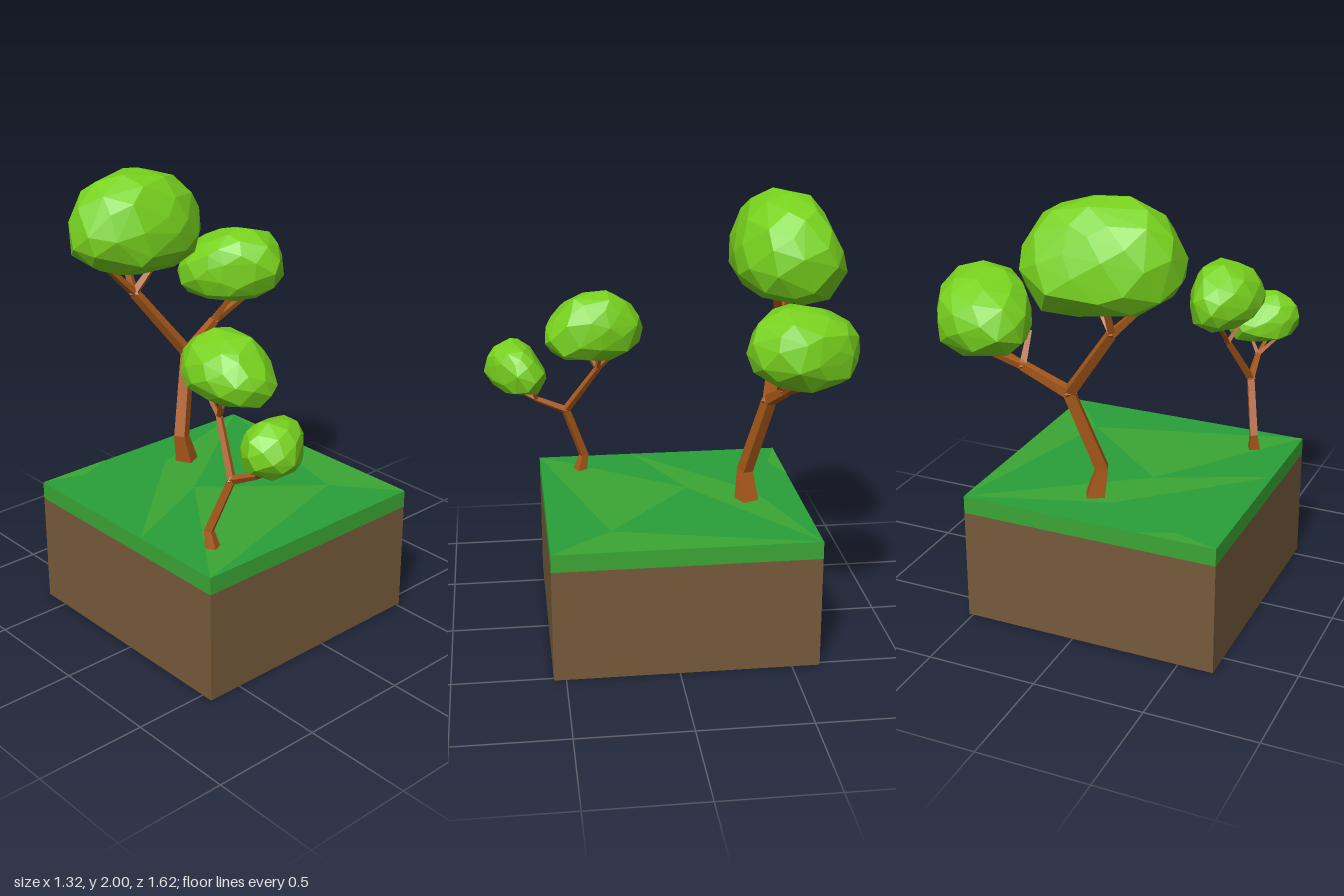
import * as THREE from 'three';
import { ConvexGeometry } from 'three/addons/geometries/ConvexGeometry.js';

const V = (p) => new THREE.Vector3(...p);
const mat = (color) => new THREE.MeshStandardMaterial({ color, flatShading: true });
const soilMat = mat(0x775a3b), lightGrass = mat(0x3ba635), darkGrass = mat(0x299f39);
const barkMat = mat(0xa8591b), leafMat = mat(0x78d21e);

function add(group, name, geometry, material) {
  const mesh = new THREE.Mesh(geometry, material);
  mesh.name = name;
  group.add(mesh);
  return mesh;
}

// Four-sided tapering limb through points [x, y, z, radius]
function limb(points) {
  const n = points.length, sides = 4, pos = [], idx = [];
  const at = points.map((p) => V(p.slice(0, 3)));
  const ref = new THREE.Vector3(1, 0, 0.35).normalize();
  points.forEach((p, i) => {
    const t = at[Math.min(i + 1, n - 1)].clone().sub(at[Math.max(i - 1, 0)]).normalize();
    if (p[4]) t.set(0, 1, 0); // level ring where the trunk meets the ground
    const u = ref.clone().cross(t).normalize(), v = t.clone().cross(u);
    for (let j = 0; j < sides; j++) {
      const a = (j / sides) * Math.PI * 2;
      const q = at[i].clone().addScaledVector(u, p[3] * Math.cos(a)).addScaledVector(v, p[3] * Math.sin(a));
      pos.push(q.x, q.y, q.z);
    }
  });
  for (let i = 0; i < n - 1; i++) {
    for (let j = 0; j < sides; j++) {
      const a = i * sides + j, b = i * sides + (j + 1) % sides;
      idx.push(a, b, a + sides, b, b + sides, a + sides);
    }
  }
  const g = new THREE.BufferGeometry();
  g.setAttribute('position', new THREE.Float32BufferAttribute(pos, 3));
  g.setIndex(idx);
  g.computeVertexNormals();
  return g;
}

// How far a point lies toward a convex outline (1 = on it)
function gauge(outline, x, y) {
  let m = 0;
  outline.forEach(([ax, ay], i) => {
    const [bx, by] = outline[(i + 1) % outline.length];
    const ex = bx - ax, ey = by - ay;
    m = Math.max(m, (x * ey - y * ex) / (ax * ey - ay * ex));
  });
  return m;
}

// Faceted crown shaped by its front (x,y), side (z,y) and plan (x,z) outlines
function crown(front, side, plan, seed) {
  const rnd = () => (seed = (seed * 16807) % 2147483647) / 2147483647;
  const range = (o, k) => [Math.min(...o.map((p) => p[k])), Math.max(...o.map((p) => p[k]))];
  const r = [range(plan, 0), range(front, 1), range(plan, 1)];
  const c = r.map(([a, b]) => (a + b) / 2), h = r.map(([a, b]) => (b - a) / 2);
  const unit = (o, i, j) => o.map((p) => [(p[0] - c[i]) / h[i], (p[1] - c[j]) / h[j]]);
  const f = unit(front, 0, 1), s = unit(side, 2, 1), t = unit(plan, 0, 2);
  const pts = [], count = 64;
  for (let i = 0; i < count; i++) {
    const y = 1 - (2 * i + 1) / count, w = Math.sqrt(1 - y * y), a = i * 2.39996;
    const d = new THREE.Vector3(w * Math.cos(a), y, w * Math.sin(a));
    d.add(new THREE.Vector3(rnd() - 0.5, rnd() - 0.5, rnd() - 0.5).multiplyScalar(0.2));
    const g = [gauge(f, d.x, d.y), gauge(s, d.z, d.y), gauge(t, d.x, d.z)];
    pts.push(d.divideScalar(Math.max(...g, Math.hypot(...g) / Math.SQRT2)));
  }
  // Stretch to the full width, height and depth
  const box = new THREE.Box3().setFromPoints(pts);
  const mid = box.getCenter(new THREE.Vector3()), size = box.getSize(new THREE.Vector3());
  pts.forEach((p) => p.sub(mid).divide(size).multiplyScalar(2).multiply(V(h)).add(V(c)));
  return new ConvexGeometry(pts);
}

// Tree: trunk, then boughs that each split into twigs
function tree(name, trunk, boughs) {
  const g = new THREE.Group();
  g.name = name;
  add(g, 'trunk', limb(trunk), barkMat);
  const fork = trunk[trunk.length - 1];
  const knot = (p, k) => add(g, 'branchJoint', new THREE.OctahedronGeometry(p[3] * k), barkMat)
    .position.set(p[0], p[1], p[2]);
  knot(fork, 1.15);
  for (const { node, twigs, leaves } of boughs) {
    add(g, 'branch', limb([[...fork.slice(0, 3), fork[3] * 0.9], node]), barkMat);
    knot(node, 1.15);
    for (const t of twigs) {
      add(g, 'twig', limb([[...node.slice(0, 3), node[3] * 0.85], [...t, node[3] * 0.6]]), barkMat);
    }
    add(g, 'leafCrown', crown(...leaves), leafMat);
  }
  return g;
}

export function createModel() {
  const model = new THREE.Group();
  model.name = 'treeIsland';

  // Ground block
  const cx = -0.07, cz = -0.035, w = 1.18;
  add(model, 'soil', new THREE.BoxGeometry(w, 0.515, w), soilMat).position.set(cx, 0.2575, cz);
  const side = lightGrass;
  add(model, 'grass', new THREE.BoxGeometry(w, 0.08, w), [side, side, darkGrass, side, side, side])
    .position.set(cx, 0.555, cz);

  // Lighter patches on the grass, as x, z corners
  const patches = [
    [[-0.66, 0.555], [-0.17, -0.12], [0.3, 0.28]],
    [[0.52, -0.62], [0.3, 0.28], [0.52, 0.555]],
    [[-0.66, 0.1], [-0.17, -0.12], [0.52, -0.62], [-0.1, -0.42]],
    [[-0.66, -0.625], [-0.3, -0.625], [-0.46, -0.56]],
  ];
  for (const p of patches) {
    const shape = new THREE.Shape(p.map(([x, z]) => new THREE.Vector2(x, -z)));
    add(model, 'grassPatch', new THREE.ShapeGeometry(shape).rotateX(-Math.PI / 2), lightGrass).position.y = 0.597;
  }

  model.add(tree('largeTree',
    [[0, 0.59, -0.375, 0.057, 1], [-0.033, 0.73, -0.372, 0.038], [0.08, 1.1, -0.455, 0.034]],
    [{
      node: [-0.16, 1.43, -0.54, 0.026],
      twigs: [[-0.31, 1.58, -0.54], [-0.16, 1.6, -0.62], [-0.06, 1.57, -0.5]],
      leaves: [
        [[-0.28, 2], [-0.02, 1.98], [0.12, 1.9], [0.205, 1.75], [0.2, 1.6], [0.12, 1.525], [-0.3, 1.56], [-0.46, 1.64], [-0.47, 1.78], [-0.4, 1.92]],
        [[-0.42, 1.95], [-0.54, 2], [-0.64, 1.99], [-0.73, 1.87], [-0.81, 1.66], [-0.74, 1.55], [-0.6, 1.525], [-0.4, 1.56], [-0.33, 1.61], [-0.31, 1.7], [-0.36, 1.86]],
        [[0, -0.81], [0.13, -0.78], [0.21, -0.67], [0.19, -0.5], [0.06, -0.37], [-0.16, -0.31], [-0.35, -0.35], [-0.46, -0.49], [-0.47, -0.58], [-0.4, -0.71], [-0.23, -0.78]],
        11],
    }, {
      node: [0.28, 1.205, -0.49, 0.024],
      twigs: [[0.52, 1.31, -0.56], [0.5, 1.3, -0.48], [0.29, 1.33, -0.4]],
      leaves: [
        [[0.5, 1.63], [0.6, 1.6], [0.655, 1.42], [0.58, 1.27], [0.3, 1.3], [0.2, 1.38], [0.24, 1.5], [0.35, 1.61]],
        [[-0.275, 1.4], [-0.31, 1.54], [-0.41, 1.63], [-0.58, 1.61], [-0.74, 1.52], [-0.77, 1.36], [-0.7, 1.27], [-0.45, 1.28]],
        [[0.39, -0.77], [0.54, -0.71], [0.655, -0.5], [0.62, -0.37], [0.52, -0.275], [0.42, -0.31], [0.28, -0.45], [0.2, -0.6], [0.24, -0.73]],
        29],
    }]));

  model.add(tree('smallTree',
    [[-0.48, 0.59, 0.365, 0.036, 1], [-0.483, 0.67, 0.345, 0.024], [-0.43, 0.92, 0.43, 0.022]],
    [{
      node: [-0.365, 1.14, 0.28, 0.016],
      twigs: [[-0.41, 1.23, 0.34], [-0.31, 1.24, 0.27], [-0.36, 1.24, 0.18]],
      leaves: [
        [[-0.33, 1.52], [-0.26, 1.49], [-0.19, 1.35], [-0.22, 1.22], [-0.3, 1.2], [-0.45, 1.25], [-0.515, 1.32], [-0.48, 1.45]],
        [[0.525, 1.25], [0.5, 1.36], [0.38, 1.49], [0.2, 1.52], [0.1, 1.42], [0.065, 1.34], [0.1, 1.24], [0.2, 1.2], [0.48, 1.21]],
        [[-0.39, 0.065], [-0.28, 0.07], [-0.22, 0.2], [-0.19, 0.4], [-0.22, 0.5], [-0.33, 0.525], [-0.45, 0.47], [-0.515, 0.35], [-0.5, 0.2]],
        47],
    }, {
      node: [-0.415, 0.985, 0.57, 0.015],
      twigs: [[-0.49, 1.06, 0.69], [-0.43, 1.06, 0.71], [-0.37, 1.07, 0.585]],
      leaves: [
        [[-0.46, 1.275], [-0.31, 1.24], [-0.25, 1.15], [-0.24, 1.05], [-0.3, 1.03], [-0.53, 1.05], [-0.575, 1.12], [-0.55, 1.22]],
        [[0.66, 1.275], [0.74, 1.26], [0.8, 1.19], [0.81, 1.11], [0.75, 1.04], [0.57, 1.03], [0.52, 1.08], [0.53, 1.13], [0.6, 1.23]],
        [[-0.3, 0.52], [-0.25, 0.56], [-0.24, 0.65], [-0.35, 0.76], [-0.44, 0.81], [-0.54, 0.78], [-0.575, 0.69], [-0.53, 0.6], [-0.42, 0.54]],
        83],
    }]));

  return model;
}
